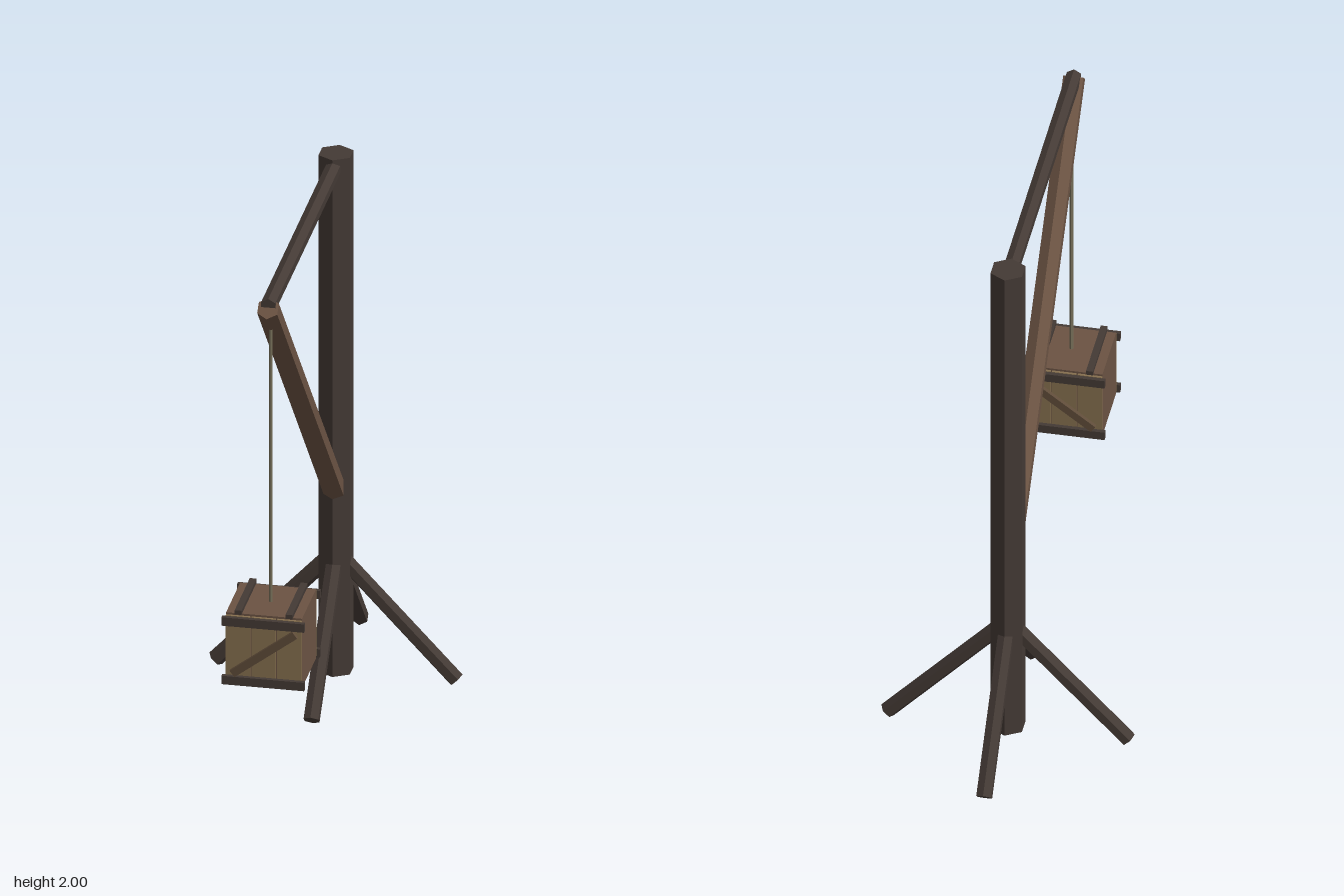
import * as THREE from 'three';

const mat = (color) => new THREE.MeshStandardMaterial({ color, flatShading: true });
const darkWood = mat(0x443a35);
const brownWood = mat(0x6b5343);
const plankWood = mat(0x86704f);
const braceWood = mat(0x5f4c39);
const ropeMat = mat(0x77705a);

// Hexagonal log between two points, one edge kept on the upper side
function log(name, a, b, radius, material, sides = 6) {
  const from = new THREE.Vector3(...a), to = new THREE.Vector3(...b);
  const dir = to.clone().sub(from);
  const mesh = new THREE.Mesh(new THREE.CylinderGeometry(radius, radius, dir.length(), sides), material);
  const y = dir.normalize();
  const up = Math.abs(y.y) > 0.99 ? new THREE.Vector3(0, 0, 1) : new THREE.Vector3(0, 1, 0);
  const x = new THREE.Vector3().crossVectors(y, up).normalize();
  const z = new THREE.Vector3().crossVectors(x, y);
  mesh.quaternion.setFromRotationMatrix(new THREE.Matrix4().makeBasis(x, y, z));
  mesh.position.copy(from.add(to).multiplyScalar(0.5));
  mesh.name = name;
  return mesh;
}

function box(name, size, pos, material) {
  const mesh = new THREE.Mesh(new THREE.BoxGeometry(...size), material);
  mesh.position.set(...pos);
  mesh.name = name;
  return mesh;
}

// Hanging crate, centred on its own origin
function createCrate() {
  const crate = new THREE.Group();
  crate.name = 'crate';
  crate.add(box('crateBody', [0.268, 0.265, 0.244], [0, 0, 0], brownWood));
  for (const s of [-1, 1]) {
    const side = s > 0 ? 'front' : 'back';
    for (let i = -1; i <= 1; i++) {
      crate.add(box(side + 'Plank', [0.086, 0.25, 0.012], [i * 0.091, 0, s * 0.125], plankWood));
    }
    // Rails across the planked face
    for (const y of [0.107, -0.117]) {
      crate.add(box(side + 'Rail', [0.292, 0.032, 0.016], [0, y, s * 0.138], darkWood));
    }
    // Diagonal brace
    const brace = box(side + 'Brace', [0.278, 0.028, 0.015], [0.004, -0.003, s * 0.147], braceWood);
    brace.rotation.z = Math.atan2(0.168, 0.222);
    crate.add(brace);
    // Batten on the lid
    crate.add(box('lidBatten', [0.024, 0.016, 0.265], [s * 0.09, 0.14, 0], darkWood));
  }
  return crate;
}

export function createModel() {
  const group = new THREE.Group();
  group.name = 'crane';
  const pz = -0.42;

  group.add(log('post', [0, 0.02, pz], [0, 2, pz], 0.064, darkWood));
  group.add(log('topBeam', [0, 1.96, pz], [0, 1.96, 0.76], 0.029, darkWood));
  group.add(log('boom', [0, 0.693, pz], [0, 1.954, 0.762], 0.041, brownWood));

  // Four splayed support legs
  for (const [x, z] of [[1, 0], [-1, 0], [0, 1], [0, -1]]) {
    group.add(log('supportLeg', [0, 0.475, pz], [x * 0.425, 0.022, pz + z * 0.425], 0.03, darkWood));
  }

  group.add(log('rope', [0, 0.8, 0.715], [0, 1.91, 0.715], 0.007, ropeMat));

  const crate = createCrate();
  crate.position.set(0, 0.677, 0.71);
  group.add(crate);
  return group;
}
